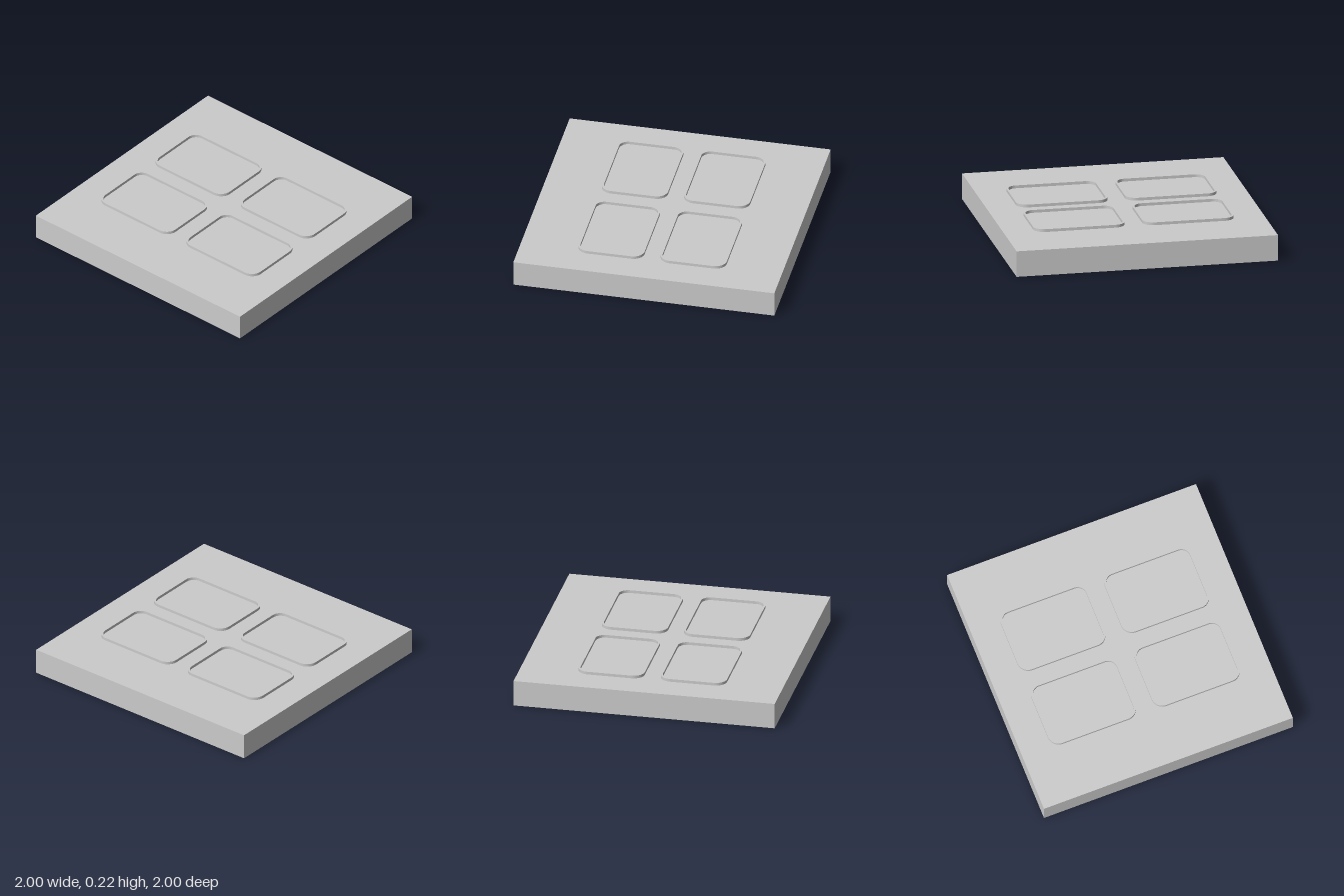
import * as THREE from 'three';
import { toCreasedNormals } from 'three/addons/utils/BufferGeometryUtils.js';

const BASE_HEIGHT = 0.2;
const RIM = { width: 0.7, depth: 0.506, height: 0.022, wall: 0.015, radius: 0.085 };

// Traces a rounded rectangle centred on the origin.
function roundedRect(path, width, height, r) {
  const x = width / 2 - r;
  const y = height / 2 - r;
  path.absarc(x, y, r, 0, Math.PI / 2);
  path.absarc(-x, y, r, Math.PI / 2, Math.PI);
  path.absarc(-x, -y, r, Math.PI, Math.PI * 1.5);
  path.absarc(x, -y, r, Math.PI * 1.5, Math.PI * 2);
  path.closePath();
  return path;
}

// Thin raised border with an open middle, standing on y = 0.
function createRimGeometry() {
  const { width, depth, height, wall, radius } = RIM;
  const shape = roundedRect(new THREE.Shape(), width, depth, radius);
  shape.holes.push(roundedRect(new THREE.Path(), width - 2 * wall, depth - 2 * wall, radius - wall));
  const geometry = new THREE.ExtrudeGeometry(shape, { depth: height, bevelEnabled: false, curveSegments: 12 });
  geometry.rotateX(-Math.PI / 2);
  return toCreasedNormals(geometry, Math.PI / 6);
}

export function createModel() {
  const model = new THREE.Group();
  model.name = 'slabWithRims';
  const material = new THREE.MeshStandardMaterial({ color: 0xcccccc });

  // Square slab
  const slab = new THREE.Mesh(new THREE.BoxGeometry(2, BASE_HEIGHT, 2), material);
  slab.name = 'slab';
  slab.position.y = BASE_HEIGHT / 2;
  model.add(slab);

  // Four raised rims in a two by two layout
  const rimGeometry = createRimGeometry();
  for (const [xSide, sx] of [['Left', 1], ['Right', -1]]) {
    for (const [zSide, sz] of [['front', 1], ['back', -1]]) {
      const rim = new THREE.Mesh(rimGeometry, material);
      rim.name = `${zSide}${xSide}Rim`;
      rim.position.set(sx * 0.417, BASE_HEIGHT, sz * 0.315);
      model.add(rim);
    }
  }
  return model;
}
